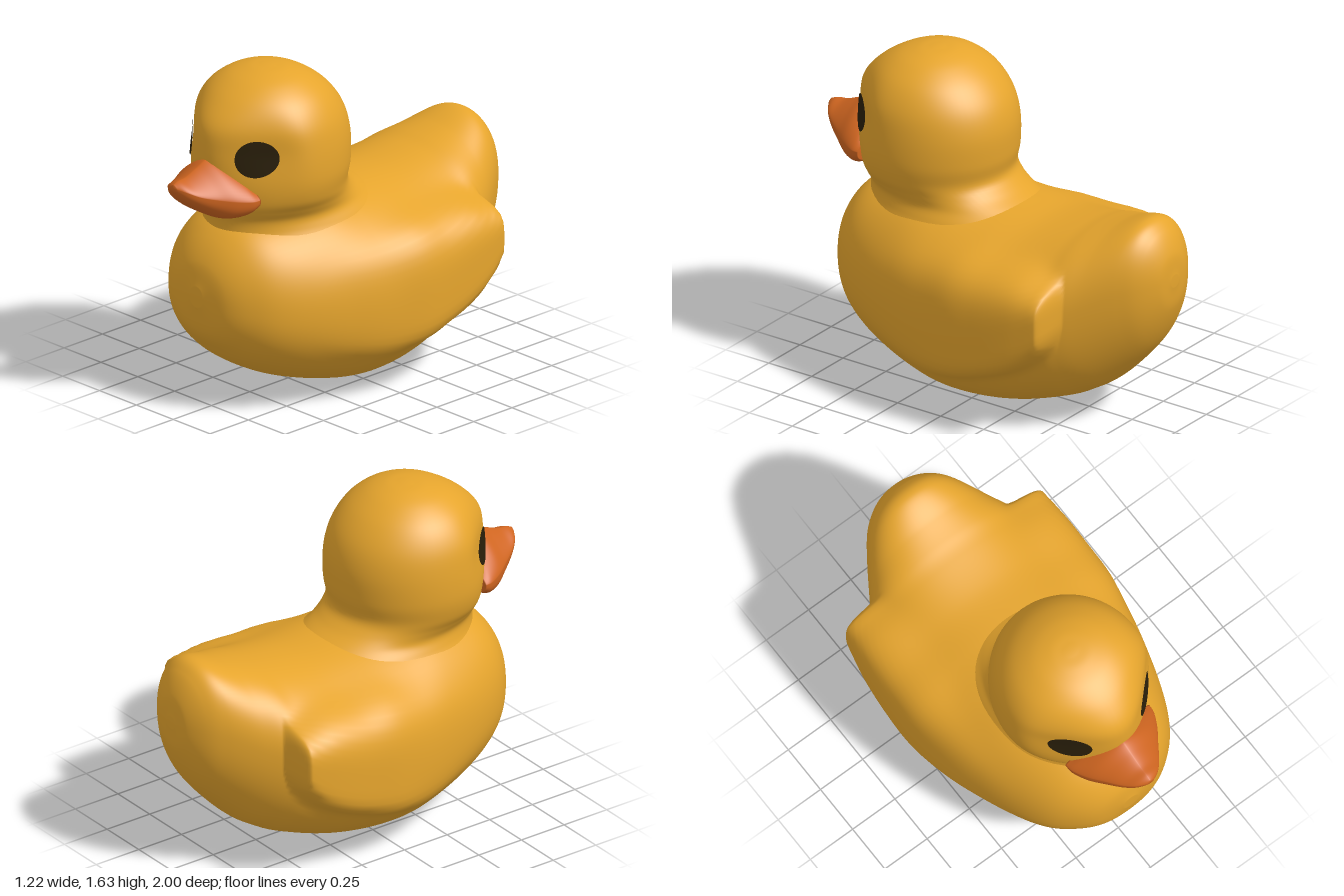
import * as THREE from 'three';

const yellow = new THREE.MeshStandardMaterial({ color: 0xe6a52d });
yellow.name = 'yellow';
const orange = new THREE.MeshStandardMaterial({ color: 0xcf6520 });
orange.name = 'orange';
const dark = new THREE.MeshStandardMaterial({ color: 0x2a1f0a });
dark.name = 'dark brown';

// Smooth interpolation through table rows, by row number unless keys are given
function spline(rows, keys = rows.map((_, i) => i)) {
  const n = rows[0].length;
  const curve = new THREE.CubicInterpolant(keys, rows.flat(), n, new Array(n));
  return (t) => Array.from(curve.evaluate(t));
}

// Closed skin over rings point(t, angle), capped at both ends
function loft(point, length, steps, sides) {
  const pos = [], index = [];
  for (let i = 0; i <= steps; i++) {
    for (let j = 0; j < sides; j++) pos.push(...point((i / steps) * length, (j / sides) * Math.PI * 2));
  }
  const centre = (ring) => {
    const c = [0, 0, 0];
    for (let j = 0; j < sides; j++) for (let k = 0; k < 3; k++) c[k] += pos[(ring * sides + j) * 3 + k] / sides;
    pos.push(...c);
    return pos.length / 3 - 1;
  };
  const first = centre(0), last = centre(steps);
  for (let j = 0; j < sides; j++) {
    const k = (j + 1) % sides, end = steps * sides;
    for (let i = 0; i < steps; i++) {
      const a = i * sides + j, b = i * sides + k;
      index.push(a, b, a + sides, b, b + sides, a + sides);
    }
    index.push(first, k, j, last, end + j, end + k);
  }
  const g = new THREE.BufferGeometry();
  g.setAttribute('position', new THREE.Float32BufferAttribute(pos, 3));
  g.setIndex(index);
  g.computeVertexNormals();
  return g;
}

// Body and tail: [z, top, bottom, widest height, half width]
const bodyRows = [
  [-1, 0.82, 0.76, 0.79, 0.03], [-0.985, 0.93, 0.64, 0.79, 0.11],
  [-0.93, 1.03, 0.5, 0.78, 0.2], [-0.85, 1.075, 0.38, 0.76, 0.27],
  [-0.7, 1.03, 0.22, 0.68, 0.37], [-0.6, 1.003, 0.15, 0.64, 0.43],
  [-0.5, 0.98, 0.1, 0.58, 0.465], [-0.3, 0.955, 0.035, 0.5, 0.51],
  [-0.1, 0.965, 0.004, 0.46, 0.54], [0.1, 0.985, 0.008, 0.45, 0.55],
  [0.3, 1, 0.05, 0.47, 0.515], [0.5, 0.97, 0.12, 0.5, 0.455],
  [0.65, 0.93, 0.205, 0.52, 0.38], [0.75, 0.855, 0.295, 0.54, 0.29],
  [0.82, 0.75, 0.39, 0.56, 0.18], [0.85, 0.63, 0.53, 0.58, 0.04],
];
const bodyAt = spline(bodyRows);

// Folded wings, merged into the body: [half width, top, bottom] at each z
const wingAt = spline([
  [0.575, 0.79, 0.58], [0.582, 0.82, 0.5], [0.59, 0.84, 0.425], [0.6, 0.86, 0.35],
  [0.605, 0.86, 0.27], [0.597, 0.86, 0.225], [0.55, 0.83, 0.215], [0.48, 0.79, 0.26],
  [0.37, 0.72, 0.35], [0.2, 0.65, 0.45], [0.03, 0.58, 0.53],
], [-0.64, -0.6, -0.54, -0.44, -0.25, -0.08, 0.1, 0.3, 0.5, 0.65, 0.8]);

// Distance from the centre to a rounded outline in direction (c, s)
const reach = (c, s, a, b, p) => (Math.abs(c / a) ** p + Math.abs(s / b) ** p) ** (-1 / p);

function bodyPoint(t, angle) {
  const [z, top, bottom, mid, hx] = bodyAt(t);
  const c = Math.cos(angle), s = Math.sin(angle), up = s >= 0;
  let r = reach(c, s, hx, up ? top - mid : mid - bottom, up ? 2.15 : 2.25);
  // Wings end in a rounded wall before the tail
  const fold = THREE.MathUtils.clamp((z + 0.655) / 0.06, 0, 1);
  if (fold > 0 && z < 0.75) {
    const [width, wingTop, wingBottom] = wingAt(z);
    const wing = reach(c, s, width, up ? wingTop - mid : mid - wingBottom, up ? 4 : 6);
    r = (r ** 16 + (wing * (1 - (1 - fold) ** 3)) ** 16) ** (1 / 16);
  }
  return [r * c, mid + r * s, z];
}

// Head rings: [y, back z, front z, half width, cheek taper]
const headRows = [
  [0.8, -0.3, 0.72, 0.39, 0], [0.85, -0.28, 0.715, 0.365, 0], [0.9, -0.24, 0.71, 0.337, 0],
  [0.95, -0.15, 0.715, 0.318, 0], [1, -0.06, 0.738, 0.335, 0.02],
  [1.06, -0.003, 0.76, 0.365, 0.06], [1.16, -0.015, 0.785, 0.385, 0.115],
  [1.3, -0.015, 0.79, 0.38, 0.165], [1.42, 0.02, 0.77, 0.355, 0.13],
  [1.52, 0.095, 0.685, 0.295, 0.05], [1.59, 0.19, 0.58, 0.205, 0],
  [1.625, 0.28, 0.48, 0.11, 0], [1.635, 0.36, 0.4, 0.025, 0],
];
const headAt = spline(headRows);

// z on a head ring, with the face narrowed towards the bill
function headZ([, back, front, , taper], c, s) {
  const narrowing = s > 0 ? taper * (2 * s * c) ** 2 : 0;
  return (back + front) / 2 + ((front - back) / 2) * (s - narrowing);
}

// Front surface of the head at a given x and y
function faceZ(x, y) {
  let lo = 0, hi = headRows.length - 1;
  for (let i = 0; i < 30; i++) {
    const m = (lo + hi) / 2;
    if (headAt(m)[0] < y) lo = m; else hi = m;
  }
  const ring = headAt(lo), c = x / ring[3];
  return headZ(ring, c, Math.sqrt(Math.max(0, 1 - c * c)));
}

// Thin oval laid on the face
function eyeGeometry(side) {
  const g = new THREE.RingGeometry(0.001, 1, 40, 6);
  const p = g.attributes.position;
  for (let i = 0; i < p.count; i++) {
    const x = side * 0.215 + p.getX(i) * 0.076, y = 1.29 + p.getY(i) * 0.09;
    p.setXYZ(i, x + side * 0.005, y, faceZ(x, y) + 0.006);
  }
  g.computeVertexNormals();
  return g;
}

// Bill: [z, top, bottom, widest height, half width]
const billRows = [
  [0.665, 1.19, 1.02, 1.09, 0.248], [0.71, 1.24, 0.99, 1.09, 0.242],
  [0.78, 1.262, 0.985, 1.1, 0.208], [0.85, 1.235, 1.02, 1.115, 0.16],
  [0.92, 1.208, 1.07, 1.135, 0.112], [0.97, 1.202, 1.115, 1.16, 0.068],
  [1, 1.19, 1.16, 1.175, 0.02],
];
const billAt = spline(billRows);
const squared = (v, p) => Math.sign(v) * Math.abs(v) ** (2 / p);

function billPoint(t, angle) {
  const [z, top, bottom, mid, hx] = billAt(t);
  const s = Math.sin(angle), p = s >= 0 ? 1.35 : 2.8;
  const dy = squared(s, p) * (s >= 0 ? top - mid : mid - bottom);
  return [hx * squared(Math.cos(angle), p), mid + dy, z];
}

export function createModel() {
  const group = new THREE.Group();
  const add = (name, geometry, material) => {
    const mesh = new THREE.Mesh(geometry, material);
    mesh.name = name;
    group.add(mesh);
  };

  add('bodyAndWings', loft(bodyPoint, bodyRows.length - 1, (bodyRows.length - 1) * 20, 96), yellow);

  // Head with flared neck
  add('head', loft((t, a) => {
    const ring = headAt(t), c = Math.cos(a), s = -Math.sin(a);
    return [ring[3] * c, ring[0], headZ(ring, c, s)];
  }, headRows.length - 1, 72, 72), yellow);

  add('bill', loft(billPoint, billRows.length - 1, 36, 64), orange);
  add('leftEye', eyeGeometry(1), dark);
  add('rightEye', eyeGeometry(-1), dark);
  return group;
}
